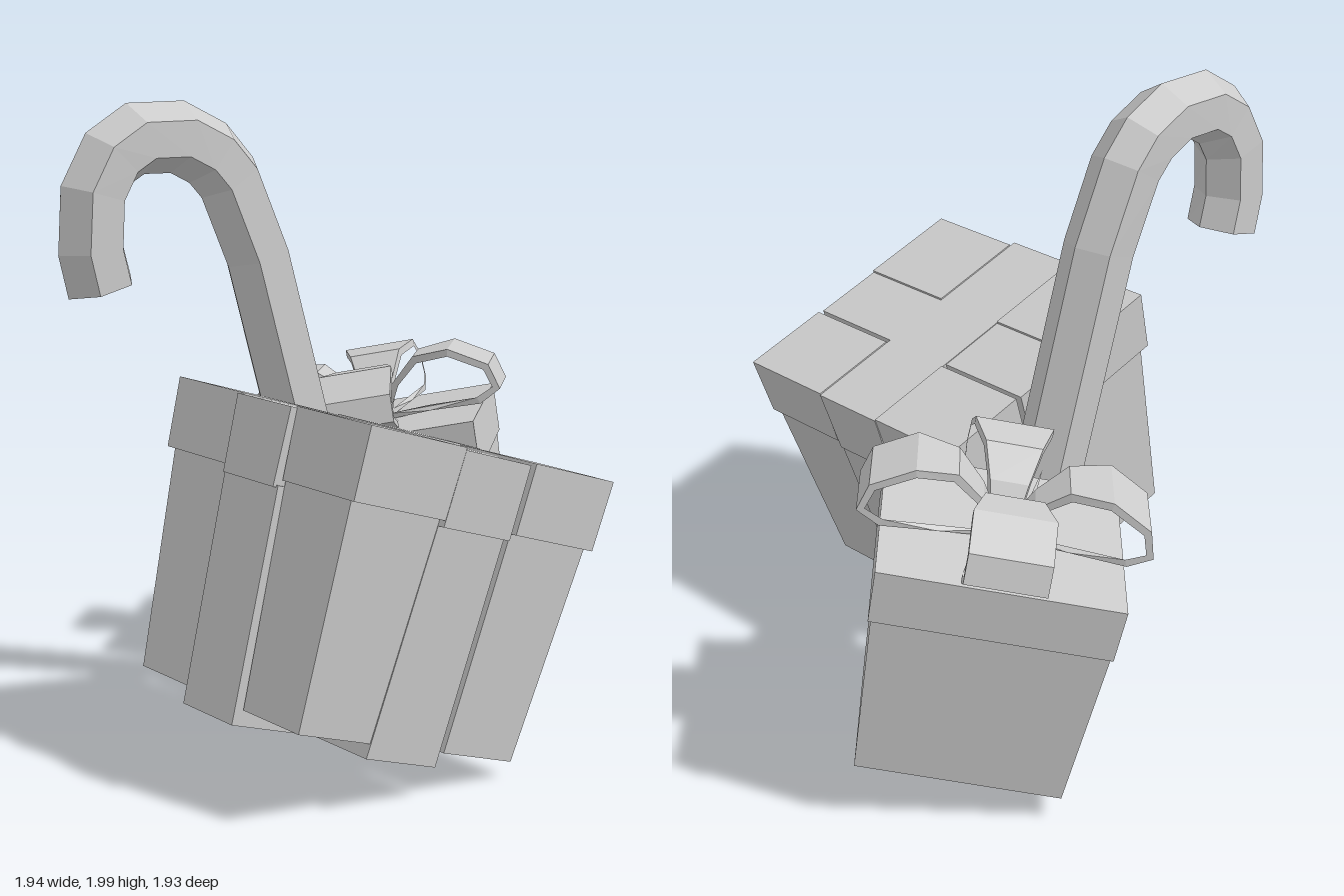
import * as THREE from 'three';

const material = new THREE.MeshStandardMaterial({ color: 0xcccccc, flatShading: true });

function addMesh(parent, name, geometry) {
  const mesh = new THREE.Mesh(geometry, material);
  mesh.name = name;
  parent.add(mesh);
  return mesh;
}

// Box whose bottom and top are separate rectangles [x0, x1, z0, z1]
function taperedBox(bottom, top, y0, y1) {
  const geometry = new THREE.BoxGeometry(1, 1, 1);
  const p = geometry.attributes.position;
  for (let i = 0; i < p.count; i++) {
    const r = p.getY(i) > 0 ? top : bottom;
    p.setXYZ(i, p.getX(i) < 0 ? r[0] : r[1], p.getY(i) > 0 ? y1 : y0, p.getZ(i) < 0 ? r[2] : r[3]);
  }
  geometry.computeVertexNormals();
  return geometry;
}

const square = (h) => [-h, h, -h, h];

// Large gift: four corner blocks under a lid, divided by a ribbon cross
function largeGift() {
  const gift = new THREE.Group();
  gift.name = 'largeGift';
  const levels = [
    { name: 'Body', y: [0, 0.675], ry: [-0.045, 0.655], x: [0.408, 0.455], z: [0.415, 0.457] },
    { name: 'Lid', y: [0.675, 0.893], ry: [0.655, 0.885], x: [0.466, 0.476], z: [0.483, 0.493] },
  ];
  // the ribbon leans a little, leaving a narrow gap on its left side
  const left = (y) => -0.146 + 0.03 * y;
  const right = (y) => 0.118 + 0.02 * y;
  const gap = 0.02;
  for (const { name, y, ry, x, z } of levels) {
    for (const sx of [-1, 1]) for (const sz of [-1, 1]) {
      const rect = (k) => [
        sx < 0 ? -x[k] : right(y[k]) + gap, sx < 0 ? left(y[k]) : x[k],
        sz < 0 ? -z[k] : 0.138, sz < 0 ? -0.138 : z[k],
      ];
      addMesh(gift, 'corner' + name, taperedBox(rect(0), rect(1), y[0], y[1]));
    }
    const front = (k) => [left(y[k]), right(y[k]), -z[k], z[k]];
    addMesh(gift, 'frontRibbon' + name, taperedBox(front(0), front(1), ry[0], ry[1]));
    const side = (k) => [-x[k] - 0.022, x[k] + 0.002, k ? -0.138 : -0.13, k ? 0.138 : 0.13];
    addMesh(gift, 'sideRibbon' + name, taperedBox(side(0), side(1), ry[0] - 0.004, ry[1] + 0.003));
  }
  gift.rotation.z = -0.298;
  gift.position.set(-0.48, 0.17, 0.475);
  return gift;
}

// One bow loop: a thin closed band, pinched where it meets the centre
function bowLoop() {
  const outer = [[0, 0], [0.08, 0.13], [0.17, 0.215], [0.3, 0.225], [0.43, 0.15], [0.455, 0.06], [0.38, 0.02], [0.2, 0.02]];
  const inner = [[0.05, 0.025], [0.1, 0.12], [0.18, 0.19], [0.295, 0.2], [0.41, 0.135], [0.43, 0.07], [0.37, 0.043], [0.2, 0.04]];
  const points = (list) => list.map(([x, y]) => new THREE.Vector2(x, y));
  const shape = new THREE.Shape(points(outer));
  shape.holes.push(new THREE.Path(points(inner)));
  const geometry = new THREE.ExtrudeGeometry(shape, { depth: 2, bevelEnabled: false });
  geometry.translate(0, 0, -1);
  const p = geometry.attributes.position;
  for (let i = 0; i < p.count; i++) {
    p.setZ(i, p.getZ(i) * Math.min(0.125, 0.035 + 0.32 * p.getX(i)));
  }
  geometry.computeVertexNormals();
  return geometry;
}

// Small gift: tapered body, overhanging lid and a four-loop bow
function smallGift() {
  const gift = new THREE.Group();
  gift.name = 'smallGift';
  addMesh(gift, 'smallBody', taperedBox(square(0.323), square(0.361), 0, 0.545));
  addMesh(gift, 'smallLid', taperedBox(square(0.369), square(0.376), 0.545, 0.718));
  const loop = bowLoop();
  for (let i = 0; i < 4; i++) {
    const mesh = addMesh(gift, 'bowLoop', loop);
    mesh.position.y = 0.712;
    mesh.rotation.y = i * Math.PI / 2;
  }
  gift.rotation.set(-0.189, Math.PI / 4, 0, 'YXZ');
  gift.position.set(0.51, 0.14, -0.34);
  return gift;
}

// Hooked cane: hexagonal rings along a bent path, closed at both ends
function caneGeometry() {
  const path = [
    [0.075, 0.11, -0.115], [-0.27, 1.5, -0.185], [-0.37, 1.75, -0.2], [-0.44, 1.83, -0.205],
    [-0.55, 1.885, -0.21], [-0.7, 1.885, -0.215], [-0.79, 1.83, -0.22], [-0.85, 1.72, -0.225],
    [-0.86, 1.55, -0.225], [-0.83, 1.43, -0.225],
  ].map((c) => new THREE.Vector3(...c));
  const sides = 6, radius = 0.115, last = path.length - 1;
  const zAxis = new THREE.Vector3(0, 0, 1);
  const positions = [], index = [];
  path.forEach((p, i) => {
    const before = p.clone().sub(path[Math.max(i - 1, 0)]).normalize();
    const after = path[Math.min(i + 1, last)].clone().sub(p).normalize();
    const n = before.add(after).cross(zAxis).normalize();
    for (let j = 0; j < sides; j++) {
      const a = j / sides * Math.PI * 2;
      const v = p.clone().addScaledVector(n, radius * Math.cos(a)).addScaledVector(zAxis, radius * Math.sin(a));
      positions.push(v.x, v.y, v.z);
    }
  });
  const start = positions.length / 3, end = start + 1;
  positions.push(...path[0].toArray(), ...path[last].toArray());
  for (let j = 0; j < sides; j++) {
    const k = (j + 1) % sides;
    for (let i = 0; i < last; i++) {
      const a = i * sides, b = a + sides;
      index.push(a + j, b + j, a + k, a + k, b + j, b + k);
    }
    index.push(start, j, k, end, last * sides + k, last * sides + j);
  }
  const geometry = new THREE.BufferGeometry();
  geometry.setAttribute('position', new THREE.Float32BufferAttribute(positions, 3));
  geometry.setIndex(index);
  geometry.computeVertexNormals();
  return geometry;
}

export function createModel() {
  const model = new THREE.Group();
  model.name = 'giftsAndCane';
  model.add(largeGift(), smallGift());
  addMesh(model, 'cane', caneGeometry());
  return model;
}
